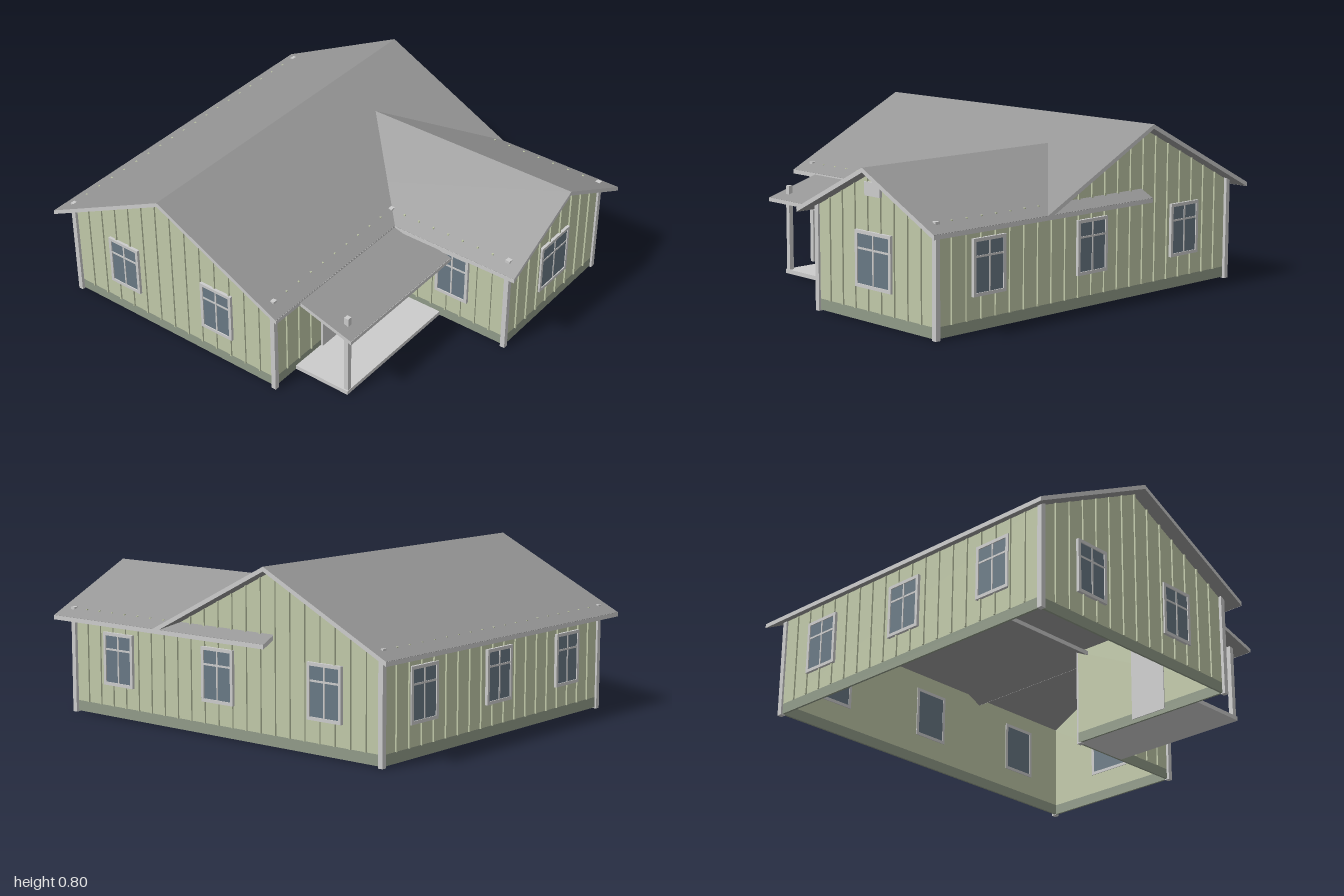
import * as THREE from 'three';

const mat = (color) => new THREE.MeshStandardMaterial({ color, side: THREE.DoubleSide });

export function createModel() {
  const house = new THREE.Group();
  house.name = 'house';
  const trim = mat(0xcccccc), siding = mat(0xc0c8a8), base = mat(0x909a88);
  const roofing = mat(0x969696), glass = mat(0x687884);

  const add = (parent, name, geo, material) => {
    const m = new THREE.Mesh(geo, material);
    m.name = name;
    parent.add(m);
    return m;
  };
  // box given by its min and max corners
  const box = (parent, name, material, x0, x1, y0, y1, z0, z1) => {
    const g = new THREE.BoxGeometry(x1 - x0, y1 - y0, z1 - z0);
    g.translate((x0 + x1) / 2, (y0 + y1) / 2, (z0 + z1) / 2);
    return add(parent, name, g, material);
  };
  const extrude = (pts, depth) => new THREE.ExtrudeGeometry(
    new THREE.Shape(pts.map((p) => new THREE.Vector2(...p))), { depth, bevelEnabled: false });

  const EAVE = 0.48, POST_TOP = 0.503, BASE_TOP = 0.055, FLOOR = 0.005;

  // framed window with a cross of glazing bars, facing local +z
  function addWindow(parent, u, w) {
    const win = new THREE.Group();
    win.name = 'window';
    const y0 = 0.155, y1 = 0.405, f = 0.015, h = w / 2, d = 0.014;
    box(win, 'windowGlass', glass, u - h + f, u + h - f, y0 + f, y1 - f, -0.012, 0.009);
    for (const s of [-1, 1]) {
      const a = u + s * h, b = u + s * (h - f);
      box(win, 'windowJamb', trim, Math.min(a, b), Math.max(a, b), y0, y1, -0.014, d);
    }
    box(win, 'windowSill', trim, u - h + f, u + h - f, y0, y0 + f, -0.014, d);
    box(win, 'windowHead', trim, u - h + f, u + h - f, y1 - f, y1, -0.014, d);
    box(win, 'verticalBar', trim, u - 0.004, u + 0.004, y0 + f, y1 - f, 0, 0.012);
    box(win, 'horizontalBar', trim, u - h + f, u + h - f, 0.321, 0.33, 0, 0.0115);
    parent.add(win);
  }

  // wall whose outline follows the top profile, with base band, battens and windows
  function addWall(name, top, pos, rotY, windows) {
    const wall = new THREE.Group();
    wall.name = name;
    const u0 = top[0][0], u1 = top[top.length - 1][0], t = 0.01;
    const face = extrude([[u0, BASE_TOP], [u1, BASE_TOP], ...[...top].reverse()], t);
    face.translate(0, 0, -t);
    add(wall, 'siding', face, siding);
    box(wall, 'baseBand', base, u0, u1, FLOOR, BASE_TOP, -t, 0);
    const heightAt = (u) => {
      const i = Math.max(1, top.findIndex((p) => p[0] >= u));
      const [a, b] = [top[i - 1], top[i]];
      return a[1] + (b[1] - a[1]) * (u - a[0]) / (b[0] - a[0]);
    };
    const n = Math.round((u1 - u0) / 0.085);
    for (let i = 1; i < n; i++) {
      const u = u0 + (u1 - u0) * i / n, h = heightAt(u);
      const y1 = h <= EAVE + 0.001 ? POST_TOP - 0.003 : h;
      box(wall, 'batten', siding, u - 0.004, u + 0.004, BASE_TOP, y1, 0, 0.008);
    }
    for (const [u, w] of windows) addWindow(wall, u, w);
    wall.position.set(...pos);
    wall.rotation.y = rotY;
    house.add(wall);
    return wall;
  }

  const flat = (a, b) => [[a, EAVE], [b, EAVE]];
  const W = 0.18, Q = Math.PI / 2;
  // long left wall: wing side plus main gable (u runs towards the back)
  addWall('leftWall', [[-0.925, EAVE], [-0.27, EAVE], [0.33, 0.778], [0.925, EAVE]],
    [0.82, 0, 0], Q, [[-0.63, 0.19], [0, 0.19], [0.62, 0.19]]);
  addWall('backWall', flat(-0.82, 0.82), [0, 0, -0.93], Math.PI, [[-0.55, 0.19], [0, 0.19], [0.55, 0.19]]);
  addWall('rightWall', [[-0.925, EAVE], [-0.33, 0.778], [0.27, EAVE]],
    [-0.82, 0, 0], -Q, [[-0.62, W], [-0.06, W]]);
  const porchWall = addWall('porchWall', flat(-0.82, 0.05), [0, 0, 0.27], 0, []);
  addWall('wingInnerWall', flat(0.27, 0.925), [0.05, 0, 0], -Q, [[0.63, W]]);
  const wingFront = addWall('wingFrontWall', [[0.05, EAVE], [0.435, 0.668], [0.82, EAVE]],
    [0, 0, 0.93], 0, [[0.435, 0.235]]);
  box(wingFront, 'gableVent', trim, 0.385, 0.485, 0.56, 0.62, 0, 0.014);

  // front door with its light
  box(porchWall, 'door', trim, -0.485, -0.29, 0.025, 0.42, -0.014, 0.012);
  box(porchWall, 'doorGlass', glass, -0.442, -0.333, 0.265, 0.385, 0, 0.015);

  // corner boards
  const corners = [[-0.823, 0.272], [-0.823, -0.928], [0.823, -0.928], [0.823, 0.928], [0.049, 0.928], [0.049, 0.272]];
  for (const [x, z] of corners) {
    box(house, 'cornerBoard', trim, x - 0.012, x + 0.012, 0, POST_TOP, z - 0.012, z + 0.012);
  }

  // gable roof: bent slab with light rake ends and eave boards, ridge along local z
  function addRoof(name, half, ridge, length) {
    const roof = new THREE.Group();
    roof.name = name;
    const t = 0.021, eave = ridge - half / 2;
    const geo = extrude([[-half, eave - t], [0, ridge - t], [half, eave - t],
      [half, eave], [0, ridge], [-half, eave]], length);
    add(roof, 'roofSlab', geo, [trim, roofing]);
    for (const s of [-1, 1]) {
      const x = s * half;
      box(roof, 'eaveBoard', trim, x - 0.001, x + 0.001, eave - t, eave - 0.001, 0, length);
    }
    house.add(roof);
    return roof;
  }
  const mainRoof = addRoof('mainRoof', 0.67, 0.8, 1.78);
  mainRoof.rotation.y = Q;
  mainRoof.position.set(-0.89, 0, -0.33);
  const wingRoof = addRoof('wingRoof', 0.452, 0.69, 1.33);
  wingRoof.position.set(0.437, 0, -0.33);

  // porch: slab, post and lean-to roof
  box(house, 'porchSlab', trim, -0.67, 0.05, FLOOR, 0.025, 0.27, 0.565);
  box(house, 'porchPost', trim, -0.663, -0.64, 0.025, 0.435, 0.54, 0.563);
  const lean = extrude([[-0.62, 0.358], [-0.62, 0.377], [-0.27, 0.478], [-0.27, 0.459]], 0.765);
  lean.rotateY(Q);
  const porchRoof = add(house, 'porchRoof', lean, [trim, roofing]);
  porchRoof.position.x = -0.72;
  box(house, 'porchEaveBoard', trim, -0.72, 0.045, 0.358, 0.376, 0.619, 0.622);

  return house;
}
